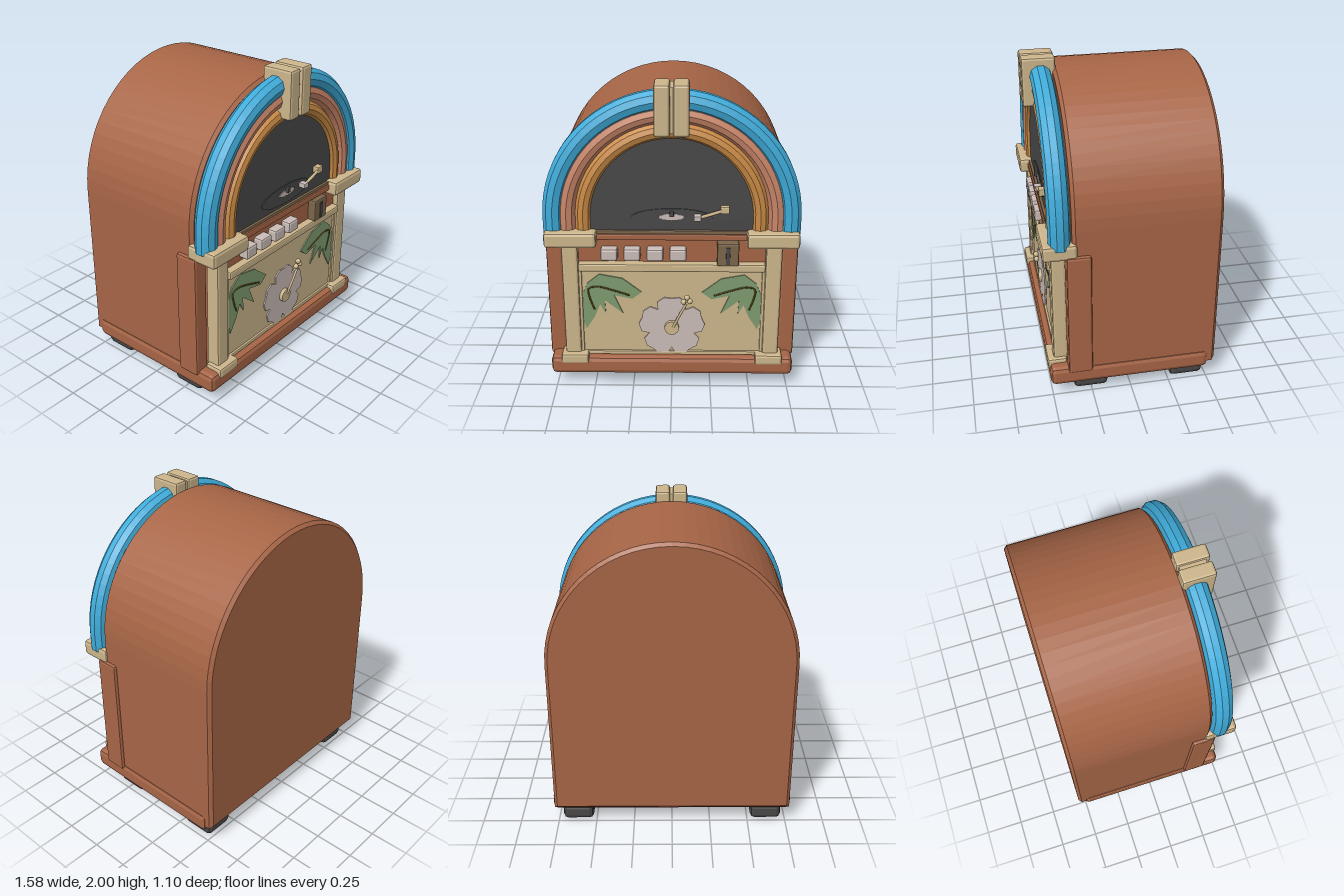
import * as THREE from 'three';
import { RoundedBoxGeometry } from 'three/addons/geometries/RoundedBoxGeometry.js';

const mat = (name, color) => {
  const m = new THREE.MeshStandardMaterial({ color });
  m.name = name;
  return m;
};

// Path for the light tubes: straight legs joined by a half circle
class ArchCurve extends THREE.Curve {
  constructor(radius, cy, z, leg) {
    super();
    Object.assign(this, { radius, cy, z, leg });
  }
  getPoint(t, target = new THREE.Vector3()) {
    const { radius: r, cy, z, leg } = this;
    const arc = Math.PI * r;
    const s = t * (arc + 2 * leg);
    if (s < leg) return target.set(r, cy - leg + s, z);
    if (s > leg + arc) return target.set(-r, cy - (s - leg - arc), z);
    const a = (s - leg) / r;
    return target.set(r * Math.cos(a), cy + r * Math.sin(a), z);
  }
}

export function createModel() {
  const model = new THREE.Group();
  model.name = 'jukebox';
  const brown = mat('brown wood', 0xa76546);
  const cream = mat('cream trim', 0xcdb68c);
  const blue = mat('blue tube', 0x3fabd9);
  const pink = mat('pink tube', 0xca8668);
  const orange = mat('orange tube', 0xc98a45);
  const dark = mat('dark grey', 0x484848);
  const pale = mat('pale petal', 0xcbbdb8);
  const green = mat('leaf green', 0x809c70);
  const olive = mat('vein olive', 0x55480f);
  const bronze = mat('bronze', 0x7c664b);
  const CY = 1.17; // centre height of the arch

  const add = (name, geometry, material, parent = model) => {
    const mesh = new THREE.Mesh(geometry, material);
    mesh.name = name;
    parent.add(mesh);
    return mesh;
  };
  const flat = (g) => {
    const f = g.index ? g.toNonIndexed() : g;
    f.computeVertexNormals();
    return f;
  };
  // Chamfered box given by its limits on each axis
  const box = (name, material, [x0, x1], [y0, y1], [z0, z1], bevel = 0.015) => {
    const g = flat(new RoundedBoxGeometry(x1 - x0, y1 - y0, z1 - z0, 1, bevel));
    g.translate((x0 + x1) / 2, (y0 + y1) / 2, (z0 + z1) / 2);
    return add(name, g, material);
  };
  const pair = (name, material, [x0, x1], y, z, bevel) => {
    box(name + 'Left', material, [x0, x1], y, z, bevel);
    box(name + 'Right', material, [-x1, -x0], y, z, bevel);
  };
  const archShape = (r, bottom) => {
    const s = new THREE.Shape();
    s.moveTo(-r, bottom);
    s.lineTo(r, bottom);
    s.lineTo(r, CY);
    s.absarc(0, CY, r, 0, Math.PI, false);
    s.closePath();
    return s;
  };
  const slab = (name, shape, material, z0, z1, bevel = 0) => {
    const g = new THREE.ExtrudeGeometry(shape, {
      depth: z1 - z0 - 2 * bevel, curveSegments: 16, bevelEnabled: bevel > 0,
      bevelSize: bevel, bevelThickness: bevel, bevelOffset: -bevel, bevelSegments: 1,
    });
    g.translate(0, 0, z0 + bevel);
    return add(name, g, material);
  };
  const rod = (name, points, radius, material, segments = 12) => {
    const curve = new THREE.CatmullRomCurve3(points.map((p) => new THREE.Vector3(...p)));
    return add(name, new THREE.TubeGeometry(curve, segments, radius, 6), material);
  };

  // Cabinet, plinth and feet
  slab('cabinet', archShape(0.768, 0.13), brown, -0.548, 0.36, 0.02);
  box('plinth', brown, [-0.78, 0.78], [0.09, 0.212], [-0.5, 0.512], 0.03);
  pair('sidePost', brown, [0.69, 0.792], [0.18, 1.01], [0.25, 0.4]);
  for (const z of [[0.14, 0.36], [-0.485, -0.265]])
    pair('foot', dark, [0.52, 0.722], [0, 0.11], z, 0.03);

  // Front face behind the trim
  slab('archBacking', archShape(0.72, 1.0), brown, 0.35, 0.425);
  box('frontBoard', brown, [-0.66, 0.66], [0.2, 1.06], [0.35, 0.445], 0.005);
  box('creamPanel', cream, [-0.58, 0.58], [0.22, 0.84], [0.4, 0.456], 0.004);

  // Window and light tubes
  slab('window', archShape(0.51, 1.06), dark, 0.4, 0.458);
  const tubes = [['blueTube', 0.726, 0.067, blue], ['pinkTube', 0.643, 0.057, pink],
    ['orangeTube', 0.541, 0.053, orange]];
  for (const [name, r, thick, m] of tubes)
    add(name, flat(new THREE.TubeGeometry(new ArchCurve(r, CY, 0.432, 0.11), 40, thick, 10)), m);

  // Pillars, capitals and trim
  pair('pillar', cream, [0.582, 0.685], [0.2, 1.02], [0.39, 0.482]);
  pair('pillarCap', cream, [0.46, 0.782], [0.99, 1.09], [0.33, 0.54], 0.02);
  pair('pillarFoot', cream, [0.535, 0.71], [0.17, 0.24], [0.4, 0.522]);
  pair('panelEdge', cream, [0.565, 0.59], [0.22, 0.84], [0.43, 0.468], 0.005);
  box('panelBottomTrim', cream, [-0.56, 0.56], [0.215, 0.24], [0.43, 0.47], 0.005);
  box('panelTopTrim', cream, [-0.582, 0.582], [0.815, 0.868], [0.43, 0.495], 0.01);
  box('windowSill', brown, [-0.5, 0.5], [1.025, 1.065], [0.4, 0.485], 0.008);
  box('sillStrip', bronze, [-0.5, 0.5], [1.062, 1.085], [0.4, 0.475], 0.005);

  // Clasp at the top of the arch
  pair('clasp', cream, [0.01, 0.104], [1.695, 2], [0.34, 0.547]);
  box('claspCore', cream, [-0.02, 0.02], [1.71, 1.985], [0.355, 0.52], 0.005);

  // Buttons and coin slot
  for (let i = 0; i < 4; i++) {
    const x = -0.387 + i * 0.142;
    box('button' + (i + 1), pale, [x - 0.052, x + 0.052], [0.892, 0.972], [0.43, 0.506], 0.014);
  }
  box('coinBox', bronze, [0.28, 0.415], [0.86, 1.012], [0.43, 0.502], 0.01);
  box('coinSlot', dark, [0.335, 0.36], [0.875, 0.987], [0.498, 0.507], 0.002);

  // Turntable drawn in relief on the window
  const disc = (name, m, x, y, rx, ry, z0, z1, wobble = 0, n = 32) => {
    const pts = [];
    for (let i = 0; i < n; i++) {
      const a = (i / n) * Math.PI * 2, k = i % 2 ? 1 - wobble : 1;
      pts.push(new THREE.Vector2(x + rx * k * Math.cos(a), y + ry * k * Math.sin(a)));
    }
    return slab(name, new THREE.Shape(pts), m, z0, z1);
  };
  disc('record', dark, 0, 1.165, 0.25, 0.062, 0.455, 0.464);
  disc('recordLabel', pale, 0, 1.175, 0.083, 0.021, 0.462, 0.47, 0.12);
  box('spindle', dark, [-0.013, 0.013], [1.18, 1.212], [0.46, 0.488], 0.004);
  rod('toneArm', [[0.17, 1.18, 0.49], [0.25, 1.205, 0.49], [0.33, 1.23, 0.485]], 0.011, cream);
  box('toneArmHead', pale, [0.135, 0.18], [1.16, 1.193], [0.46, 0.508], 0.005);
  box('toneArmBase', cream, [0.295, 0.35], [1.205, 1.25], [0.455, 0.498], 0.006);

  // Palm leaves, mirrored
  const leaf = [[-0.19, 0.662], [-0.31, 0.757], [-0.455, 0.785], [-0.53, 0.725], [-0.56, 0.656],
    [-0.566, 0.47], [-0.546, 0.4], [-0.49, 0.49], [-0.455, 0.575], [-0.42, 0.51], [-0.425, 0.605],
    [-0.31, 0.512], [-0.365, 0.64], [-0.25, 0.615]];
  const vein = [[-0.49, 0.54], [-0.515, 0.61], [-0.525, 0.685], [-0.47, 0.7], [-0.37, 0.675], [-0.265, 0.64]];
  for (const [side, s] of [['Right', 1], ['Left', -1]]) {
    slab('leaf' + side, new THREE.Shape(leaf.map(([x, y]) => new THREE.Vector2(x * s, y))), green, 0.455, 0.464);
    rod('leafVein' + side, vein.map(([x, y]) => [x * s, y, 0.464]), 0.006, olive, 20);
  }

  // Flower with five scalloped petals
  const petals = [];
  const rim = [[-36, 0.15], [-28, 0.196], [-13, 0.212], [0, 0.2], [13, 0.212], [28, 0.196]];
  for (let i = 0; i < 5; i++)
    for (const [deg, r] of rim) {
      const a = THREE.MathUtils.degToRad(90 + i * 72 + deg);
      petals.push(new THREE.Vector2(r * Math.cos(a), 0.42 + r * Math.sin(a)));
    }
  slab('flower', new THREE.Shape(petals), pale, 0.46, 0.469);
  disc('flowerCentre', cream, 0, 0.42, 0.046, 0.046, 0.465, 0.492, 0, 16);
  rod('stamen', [[0.01, 0.43, 0.49], [0.05, 0.52, 0.502], [0.092, 0.605, 0.508]], 0.009, cream);
  for (const [x, y] of [[0.074, 0.618], [0.114, 0.622], [0.096, 0.648]])
    add('stamenTip', new THREE.SphereGeometry(0.018, 8, 6), cream).position.set(x, y, 0.508);

  return model;
}
